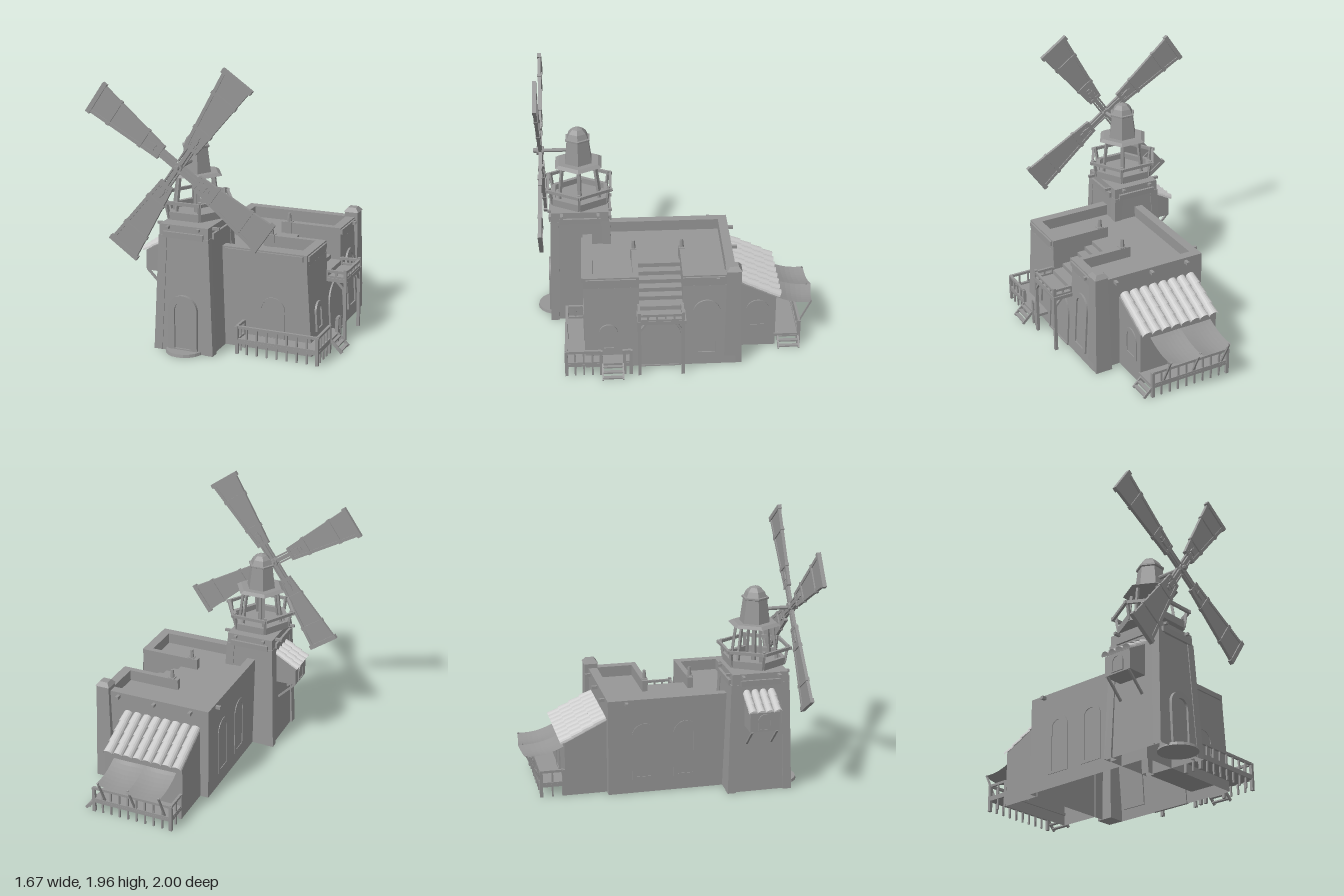
import * as THREE from 'three';

const V = (x, y, z) => new THREE.Vector3(x, y, z);
const grey = { color: 0x969696, flatShading: true };
const mat = new THREE.MeshStandardMaterial(grey);
const thin = new THREE.MeshStandardMaterial({ ...grey, side: THREE.DoubleSide });
const tileMat = new THREE.MeshStandardMaterial({ color: 0xcccccc, flatShading: true, side: THREE.DoubleSide });

function add(parent, name, geo, m = mat) {
  const mesh = Object.assign(new THREE.Mesh(geo, m), { name });
  parent.add(mesh);
  return mesh;
}
function group(parent, name, x = 0, y = 0, z = 0, ry = 0, rx = 0) {
  const g = Object.assign(new THREE.Group(), { name });
  g.position.set(x, y, z);
  g.rotation.set(rx, ry, 0, 'YXZ');
  parent.add(g);
  return g;
}
// Box given by its low and high corners
function box(parent, name, x0, x1, y0, y1, z0, z1) {
  const geo = new THREE.BoxGeometry(x1 - x0, y1 - y0, z1 - z0);
  return add(parent, name, geo.translate((x0 + x1) / 2, (y0 + y1) / 2, (z0 + z1) / 2));
}
// Square beam between two points
function bar(parent, name, a, b, w = 0.015, h = w) {
  const mesh = add(parent, name, new THREE.BoxGeometry(w, h, a.distanceTo(b)));
  mesh.position.copy(a).lerp(b, 0.5);
  mesh.quaternion.setFromRotationMatrix(new THREE.Matrix4().lookAt(b, a, V(0, 1, 0)));
}
// Square block narrowing upwards, depth is a multiple of the width
const frustum = (w0, w1, h, depth) => new THREE.CylinderGeometry(w1 / Math.SQRT2, w0 / Math.SQRT2, h, 4)
  .rotateY(Math.PI / 4).scale(1, 1, depth).translate(0, h / 2, 0);
function extrude(points, depth) {
  const shape = new THREE.Shape(points.map(([x, y]) => new THREE.Vector2(x, y)));
  return new THREE.ExtrudeGeometry(shape, { depth, bevelEnabled: false });
}
// Hollow shell: removes the ground face and the faces on the given z planes
function shell(parent, name, geo, cuts = []) {
  const p = (geo.index ? geo.toNonIndexed() : geo).attributes.position, keep = [];
  for (let i = 0; i < p.count; i += 3) {
    const c = [0, 1, 2].map(k => V().fromBufferAttribute(p, i + k));
    const cut = c.every(v => v.y < 1e-4) || cuts.some(z => c.every(v => Math.abs(v.z - z) < 1e-4));
    if (!cut) keep.push(...c);
  }
  const open = new THREE.BufferGeometry().setFromPoints(keep);
  open.computeVertexNormals();
  return add(parent, name, open, thin);
}
function archPath(Type, w, h, y0) {
  const s = new Type().moveTo(-w / 2, y0).lineTo(w / 2, y0).lineTo(w / 2, h - w / 2);
  return s.absarc(0, h - w / 2, w / 2, 0, Math.PI, false).lineTo(-w / 2, y0);
}
// Arched opening: raised surround and a set-back panel
function arch(parent, w, h, x, y, z, ry, rx = 0, rim = 0.03, depth = 0.008) {
  const g = group(parent, 'archedOpening', x, y, z, ry, rx);
  const s = archPath(THREE.Shape, w, h, 0), opt = { bevelEnabled: false, curveSegments: 10 };
  s.holes.push(archPath(THREE.Path, w - 2 * rim, h - rim, rim * 0.6));
  add(g, 'archSurround', new THREE.ExtrudeGeometry(s, { ...opt, depth: depth + 0.01 })).position.z = -0.01;
  const panel = archPath(THREE.Shape, w - rim, h - rim / 2, 0.005);
  add(g, 'archPanel', new THREE.ExtrudeGeometry(panel, { ...opt, depth: 0.013 })).position.z = -0.01;
}
// Sloping rows of half-round tiles running down local +z
function tileRoof(parent, width, length, cols, rows, x, y, z, ry, pitch) {
  const g = group(parent, 'tiledRoof', x, y, z, ry, pitch), r = width / cols / 2, l = length / rows;
  const geo = new THREE.CylinderGeometry(r * 0.88, r * 1.02, l * 1.12, 8, 1, true, -Math.PI / 2, Math.PI).rotateX(-Math.PI / 2 - 0.06);
  for (let c = 0; c < cols; c++) for (let k = 0; k < rows; k++)
    add(g, 'roofTile', geo, tileMat).position.set((c + 0.5) * 2 * r - width / 2, 0.004, (k + 0.5) * l);
}
// Handrails through points with evenly spaced balusters
function railing(parent, pts, yTop, yLow, yFoot, gap) {
  const g = group(parent, 'railing');
  for (let i = 0; i + 1 < pts.length; i++) {
    const at = (t, y) => V(...pts[i], 0).lerp(V(...pts[i + 1], 0), t), pos = (t, y) => V(at(t).x, y, at(t).y);
    for (const y of [yTop, yLow]) bar(g, 'rail', pos(0, y), pos(1, y), 0.018);
    const n = Math.max(1, Math.round(at(0).distanceTo(at(1)) / gap));
    for (let k = 0; k <= n; k++) bar(g, 'baluster', pos(k / n, yFoot), pos(k / n, yTop + 0.005), k % n ? 0.012 : 0.022);
  }
}
// Open wooden steps going down towards +x
function steps(parent, x, z0, z1) {
  const g = group(parent, 'woodSteps', x);
  for (const z of [z0, z1]) bar(g, 'stringer', V(0, 0.09, z), V(0.083, 0.008, z), 0.012, 0.02);
  for (const i of [0, 1, 2]) box(g, 'tread', i * 0.027, 0.028 + i * 0.027, 0.07 - i * 0.027, 0.08 - i * 0.027, z0, z1);
}

function buildHouse(root) {
  const g = group(root, 'house'), floor = 0.62, top = 0.7, xl = -0.222, lean = -0.064;
  const xr = y => 0.65 - 0.064 * y;
  // Walls in three slices, the middle one cut by the roof stairs
  const slab = [[xl, 0], [xr(0), 0], [xr(floor), floor], [xl, floor]];
  const stair = [[xl, 0], [xr(0), 0], [xr(0.44), 0.44]];
  for (let i = 0; i < 6; i++) stair.push([i ? 0.6 - i * 0.06 : xr(0.47), 0.47 + i * 0.03], [0.54 - i * 0.06, 0.47 + i * 0.03]);
  stair.push([0.24, floor], [xl, floor]);
  for (const [name, pts, z0, z1] of [['frontWalls', slab, 0.27, 0.65], ['backWalls', slab, -0.4, -0.03], ['roofStairs', stair, -0.03, 0.27]])
    shell(g, name, extrude(pts, z1 - z0).translate(0, 0, z0), [-0.03, 0.27]);
  // Parapets, also along both sides of the stairs
  for (const [x0, x1, z0, z1, y0 = floor] of [[xl, -0.16, -0.4, 0.65], [-0.16, 0.61, 0.585, 0.65], [-0.16, 0.61, -0.4, -0.335],
    [0.545, 0.61, 0.31, 0.585], [0.545, 0.61, -0.335, -0.07], [0.165, 0.61, 0.27, 0.31, 0.46], [0.165, 0.61, -0.07, -0.03, 0.46]])
    box(g, 'parapet', x0, x1, y0, top, z0, z1);
  for (const z of [0.295, -0.045]) {
    box(g, 'stairPost', 0.195, 0.245, floor, 0.705, z - 0.022, z + 0.022);
    add(g, 'stairFinial', new THREE.CylinderGeometry(0.011, 0.017, 0.06, 6)).position.set(0.22, 0.735, z);
  }
  // Trim beams and stubs under the roof edge
  box(g, 'frontTrim', 0.03, 0.585, 0.655, 0.69, 0.64, 0.662);
  for (const [a, b] of [[0.29, 0.63], [-0.32, -0.03]]) box(g, 'sideTrim', 0.6, 0.622, 0.655, 0.69, a, b);
  for (const x of [-0.09, 0.19, 0.47]) box(g, 'beamEnd', x - 0.011, x + 0.011, 0.66, 0.682, -0.44, -0.39);
  for (const x of [-0.235, 0.62]) box(g, 'beamEnd', x - 0.022, x + 0.022, 0.665, 0.687, -0.28, -0.258);
  // Corner pillar
  add(g, 'cornerPillar', frustum(0.125, 0.095, 0.74, 1)).position.set(0.585, 0, -0.38);
  add(g, 'pillarCap', frustum(0.108, 0.06, 0.03, 1)).position.set(0.585, 0.735, -0.38);
  // Doors and windows
  arch(g, 0.18, 0.29, 0.37, 0.09, 0.65, 0, 0, 0.012);
  arch(g, 0.3, 0.38, xr(0), 0, 0.133, Math.PI / 2, lean, 0.014, 0.012);
  arch(g, 0.19, 0.43, xr(0.08), 0.08, -0.195, Math.PI / 2, lean, 0.035, 0.014);
  arch(g, 0.13, 0.2, xr(0.14), 0.14, 0.485, Math.PI / 2, lean, 0.03, 0.014);
  for (const z of [-0.14, 0.16]) arch(g, 0.18, 0.42, xl + 0.003, 0.1, z, -Math.PI / 2, 0, 0.035);
  // Landing below the roof stairs
  const l = group(root, 'landing');
  box(l, 'landingFloor', 0.6, 0.765, 0.415, 0.44, -0.045, 0.29);
  for (const z of [-0.025, 0.275]) {
    box(l, 'landingPost', 0.742, 0.764, 0, 0.505, z - 0.011, z + 0.011);
    bar(l, 'bracket', V(0.753, 0.35, z), V(0.69, 0.42, z), 0.014);
    bar(l, 'bracket', V(0.753, 0.35, z), V(0.753, 0.42, z + (z > 0 ? -0.05 : 0.05)), 0.014);
  }
  railing(l, [[0.62, 0.275], [0.753, 0.275], [0.753, -0.025], [0.62, -0.025]], 0.485, 0.445, 0.43, 0.06);
  // Front deck
  const d = group(root, 'frontDeck');
  box(d, 'deckFloor', 0.155, 0.745, 0.075, 0.095, 0.325, 0.79);
  railing(d, [[0.165, 0.66], [0.165, 0.78], [0.735, 0.78], [0.735, 0.54]], 0.19, 0.1, 0, 0.068);
  railing(d, [[0.735, 0.38], [0.735, 0.335]], 0.19, 0.1, 0, 0.1);
  steps(d, 0.74, 0.39, 0.53);
}

function buildExtension(root) {
  const g = group(root, 'backRoom');
  // Lean-to walls, profile runs along z
  const walls = extrude([[-0.39, 0], [-0.39, 0.545], [-0.7, 0.395], [-0.7, 0]], 0.6).rotateY(-Math.PI / 2).translate(0.44, 0, 0);
  shell(g, 'leanToWalls', walls, [-0.39]);
  tileRoof(g, 0.6, 0.355, 8, 4, 0.135, 0.545, -0.4, Math.PI, 0.46);
  arch(g, 0.16, 0.22, 0.44, 0.16, -0.57, Math.PI / 2);
  arch(g, 0.17, 0.25, 0.14, 0.09, -0.7, Math.PI);
  // Back deck
  box(g, 'backDeckFloor', -0.16, 0.45, 0.075, 0.095, -0.88, -0.69);
  railing(g, [[-0.15, -0.71], [-0.15, -0.87], [0.44, -0.87]], 0.19, 0.1, 0, 0.068);
  steps(g, 0.425, -0.865, -0.72);
  // Sagging cloth canopy in two bays
  const cloth = new THREE.PlaneGeometry(1, 1, 16, 8), p = cloth.attributes.position;
  for (let i = 0; i < p.count; i++) {
    const u = p.getX(i) + 0.5, t = 0.5 - p.getY(i), sag = Math.abs(Math.sin(2 * Math.PI * u)), ridge = 1 - Math.abs(2 * u - 1);
    p.setXYZ(i, -0.115 + 0.48 * u, 0.36 - 0.06 * t - 0.022 * Math.sin(Math.PI * t) - 0.02 * sag * Math.sqrt(t), -0.69 - t * (0.28 + 0.025 * ridge - 0.004 * sag));
  }
  add(g, 'clothCanopy', cloth, thin);
  for (const x of [-0.105, 0.125, 0.355]) bar(g, 'canopyPole', V(x, 0.1, -0.865), V(x, 0.305, -0.965), 0.012);
}

function buildTower(root) {
  const g = group(root, 'tower', -0.175, 0, 0.665);
  shell(g, 'towerWalls', frustum(0.4, 0.35, 0.875, 1.16));
  // Leaning corner piers, trim beams and beam ends
  for (const s of [-1, 1]) {
    for (const t of [-1, 1]) {
      const lean = new THREE.Matrix4().makeShear(0, 0, -s * 0.045, -t * 0.03, 0, 0);
      const pier = new THREE.BoxGeometry(0.06, 0.8, 0.06).translate(0, 0.4, 0).applyMatrix4(lean);
      shell(g, 'cornerPier', pier).position.set(s * 0.186, 0, t * 0.206);
    }
    box(g, 'trim', -0.145, 0.145, 0.79, 0.83, s * 0.213 - 0.01, s * 0.213 + 0.01);
    box(g, 'trim', s * 0.183 - 0.01, s * 0.183 + 0.01, 0.79, 0.83, -0.145, 0.145);
    box(g, 'throughBeam', -0.225, 0.225, 0.85, 0.868, s * 0.13 - 0.01, s * 0.13 + 0.01);
    box(g, 'throughBeam', s * 0.11 - 0.01, s * 0.11 + 0.01, 0.85, 0.868, -0.23, 0.23);
  }
  arch(g, 0.21, 0.4, 0, 0, 0.23, 0, -0.015, 0.045, 0.018);
  add(g, 'doorStep', new THREE.CylinderGeometry(0.13, 0.135, 0.02, 20)).position.set(0, 0.01, 0.2);
  // Side bay with tiled roof and struts
  const bay = extrude([[-0.335, 0.5], [-0.17, 0.5], [-0.17, 0.73], [-0.335, 0.64]], 0.21);
  add(g, 'bay', bay).position.z = -0.115;
  arch(g, 0.1, 0.12, -0.335, 0.51, -0.01, -Math.PI / 2, 0, 0.015);
  tileRoof(g, 0.24, 0.2, 4, 3, -0.17, 0.735, -0.01, -Math.PI / 2, 0.52);
  for (const z of [-0.1, 0.08]) bar(g, 'bayStrut', V(-0.33, 0.5, z), V(-0.2, 0.37, z), 0.014);
  // Six-sided gallery
  const hex = (r, y, k) => V(r, y, 0).applyAxisAngle(V(0, 1, 0), k * Math.PI / 3);
  const drum = (name, r0, r1, h, y) => add(g, name, new THREE.CylinderGeometry(r1, r0, h, 6, 1, false, Math.PI / 6)).position.y = y;
  drum('galleryFloor', 0.215, 0.215, 0.01, 0.915);
  drum('centreColumn', 0.018, 0.018, 0.34, 1.04);
  for (let k = 0; k < 6; k++) {
    bar(g, 'galleryParapet', hex(0.215, 0.935, k), hex(0.215, 0.935, k + 1), 0.028, 0.052);
    const a = hex(0.257, 1.03, k), b = hex(0.257, 1.03, k + 1);
    bar(g, 'galleryRail', a.clone().lerp(b, -0.05), b.clone().lerp(a, -0.05), 0.018, 0.022);
    bar(g, 'railPost', hex(0.222, 0.92, k), hex(0.242, 1.05, k), 0.018);
    bar(g, 'roofPost', hex(0.165, 0.92, k), hex(0.13, 1.195, k), 0.018);
  }
  drum('roofSkirt', 0.19, 0.16, 0.018, 1.197);
  const cap = [[0, 1.2], [0.11, 1.2], [0.087, 1.37], [0.098, 1.375], [0.098, 1.387], [0.084, 1.39], [0.068, 1.425], [0.04, 1.452], [0, 1.465]];
  add(g, 'roofCap', new THREE.LatheGeometry(cap.map(c => new THREE.Vector2(...c)), 6, Math.PI / 6));
}

function buildSails(root) {
  const g = group(root, 'windmill', -0.174, 1.29, 0.93);
  for (const [name, r, h, z] of [['shaft', 0.014, 0.3, -0.1], ['hub', 0.032, 0.05, 0], ['hubNose', 0.018, 0.04, 0.025]])
    add(g, name, new THREE.CylinderGeometry(r, r, h, 8).rotateX(Math.PI / 2)).position.z = z;
  const half = r => 0.04 + (r - 0.15) * 0.105, a = 0.15, b = 0.71;
  for (let i = 0; i < 4; i++) {
    const s = group(g, 'sail');
    s.rotation.z = (55 - 90 + 90 * i) * Math.PI / 180;
    box(s, 'spar', -0.013, 0.013, 0, 0.26, -0.013, 0.013);
    for (const x of [-0.025, 0.025]) box(s, 'sparBrace', x - 0.005, x + 0.005, 0.03, 0.2, -0.01, 0.01);
    box(s, 'sparBlock', -0.02, 0.02, 0.2, 0.235, -0.016, 0.018);
    add(s, 'sailBoard', extrude([[-half(a), a], [half(a), a], [half(b), b], [-half(b), b]], 0.01)).position.z = -0.005;
    for (const m of [-1, 1]) bar(s, 'sailEdge', V(m * half(a), a, 0), V(m * half(b), b, 0), 0.022);
    for (const [r, out, w] of [[0.16, 0.01, 0.022], [0.3, 0.016, 0.024], [0.56, 0.016, 0.024], [0.718, 0.021, 0.032]])
      box(s, 'sailCrossbar', -half(r) - out, half(r) + out, r - w / 2, r + w / 2, -0.014, 0.014);
  }
}

export function createModel() {
  const root = Object.assign(new THREE.Group(), { name: 'windmillHouse' });
  for (const build of [buildHouse, buildExtension, buildTower, buildSails]) build(root);
  return root;
}
